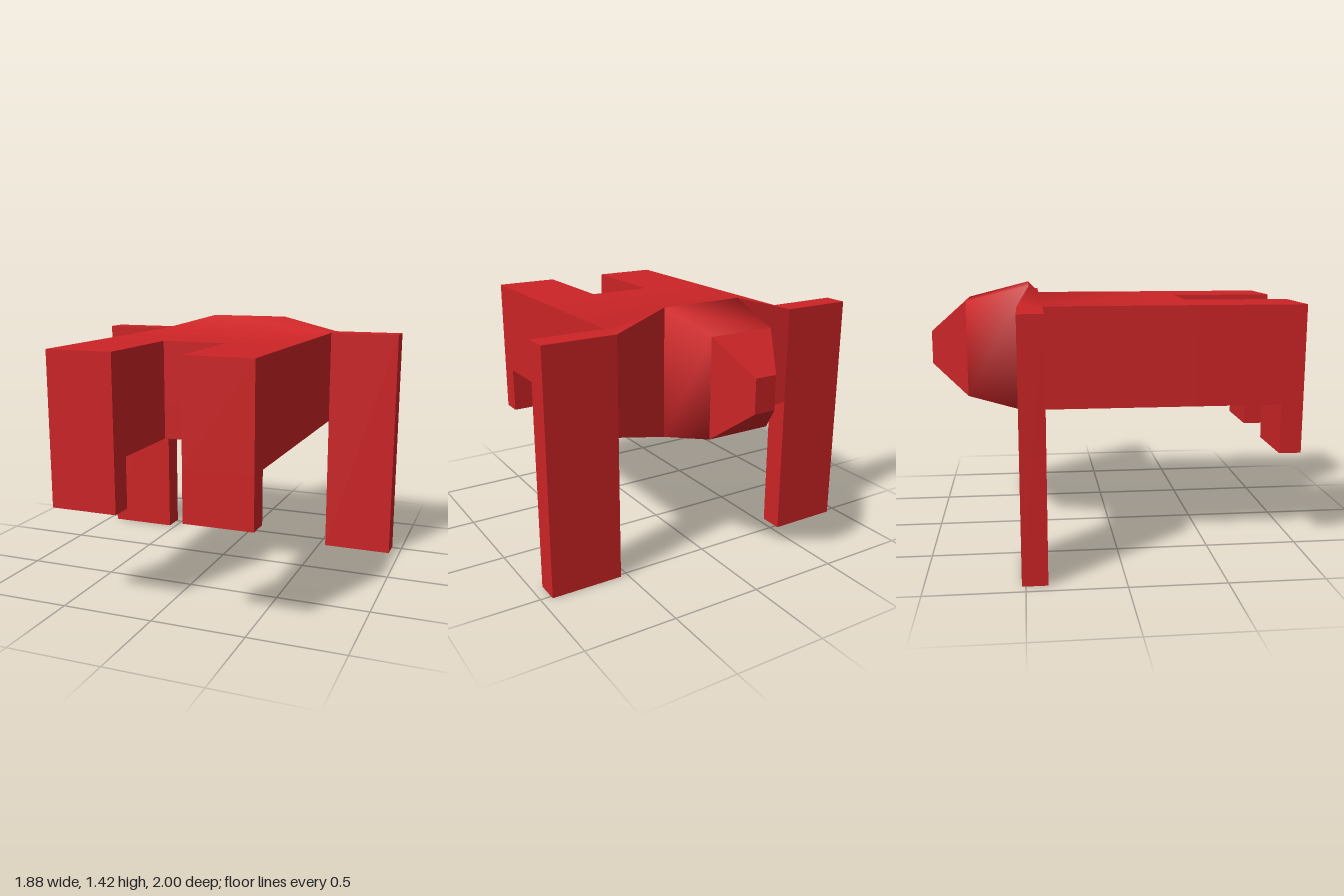
import * as THREE from 'three';
import { toCreasedNormals } from 'three/addons/utils/BufferGeometryUtils.js';

const red = new THREE.MeshStandardMaterial({ color: 0xcc2426 });
red.name = 'red';

// Rectangular section across the model, counter-clockwise seen from the front
const section = (halfWidth, bottom, top, z) => [
  [halfWidth, top, z], [-halfWidth, top, z], [-halfWidth, bottom, z], [halfWidth, bottom, z],
];

// Chosen faces between two sections: 0 top, 1 right, 2 bottom, 3 left
const loft = (a, b, faces = [0, 1, 2, 3]) => faces.map((i) => {
  const j = (i + 1) % 4;
  return [a[i], b[i], b[j], a[j]];
});

const mirror = (face) => face.map(([x, y, z]) => [-x, y, z]).reverse();

// Mesh from three- and four-cornered faces, smoothed below the crease angle
function faceMesh(name, faces, crease) {
  const points = [];
  for (const f of faces) {
    for (let i = 1; i < f.length - 1; i++) points.push(...f[0], ...f[i], ...f[i + 1]);
  }
  const geometry = new THREE.BufferGeometry();
  geometry.setAttribute('position', new THREE.Float32BufferAttribute(points, 3));
  const mesh = new THREE.Mesh(toCreasedNormals(geometry, crease), red);
  mesh.name = name;
  return mesh;
}

function block(name, x0, x1, y0, y1, z0, z1) {
  const mesh = new THREE.Mesh(new THREE.BoxGeometry(x1 - x0, y1 - y0, z1 - z0), red);
  mesh.position.set((x0 + x1) / 2, (y0 + y1) / 2, (z0 + z1) / 2);
  mesh.name = name;
  return mesh;
}

export function createModel() {
  const model = new THREE.Group();
  model.name = 'blockyFigure';

  // Torso sections, from the hips to the raised neck
  const hips = section(0.54, 0.8, 1.335, 0.42);
  const chest = section(0.54, 0.8, 1.335, -0.39);
  const shoulder = section(0.54, 0.8, 1.335, -0.52);
  const neck = section(0.23, 0.72, 1.42, -0.455);
  const brow = section(0.18, 0.81, 1.335, -0.8);
  const tip = section(0.06, 0.98, 1.16, -1);

  // Shoulder corners that join the neck to the arms
  const corner = [
    [chest[0], shoulder[0], neck[0]],
    [chest[3], neck[3], shoulder[3]],
    [shoulder[0], shoulder[3], neck[3], neck[0]],
  ];
  model.add(faceMesh('torso', [
    hips, ...loft(hips, chest), ...loft(chest, neck, [0, 2]),
    ...corner, ...corner.map(mirror),
  ], 1.05));

  // Head: softly shaded base and a faceted, tapered end
  model.add(faceMesh('headBase', loft(neck, brow), 1.6));
  model.add(faceMesh('headTip', [...loft(brow, tip), [...tip].reverse()], 0.2));

  // Limbs on both sides
  for (const [side, s] of [['left', 1], ['right', -1]]) {
    const limb = (part, inner, outer, ...rest) => model.add(
      block(side + part, Math.min(s * inner, s * outer), Math.max(s * inner, s * outer), ...rest));
    limb('Arm', 0.54, 0.94, 0, 1.335, -0.52, -0.39);
    limb('Leg', 0.18, 0.54, 0.8, 1.335, 0.42, 1);
    limb('Foot', 0.18, 0.54, 0.53, 0.8, 0.88, 1);
  }
  return model;
}
